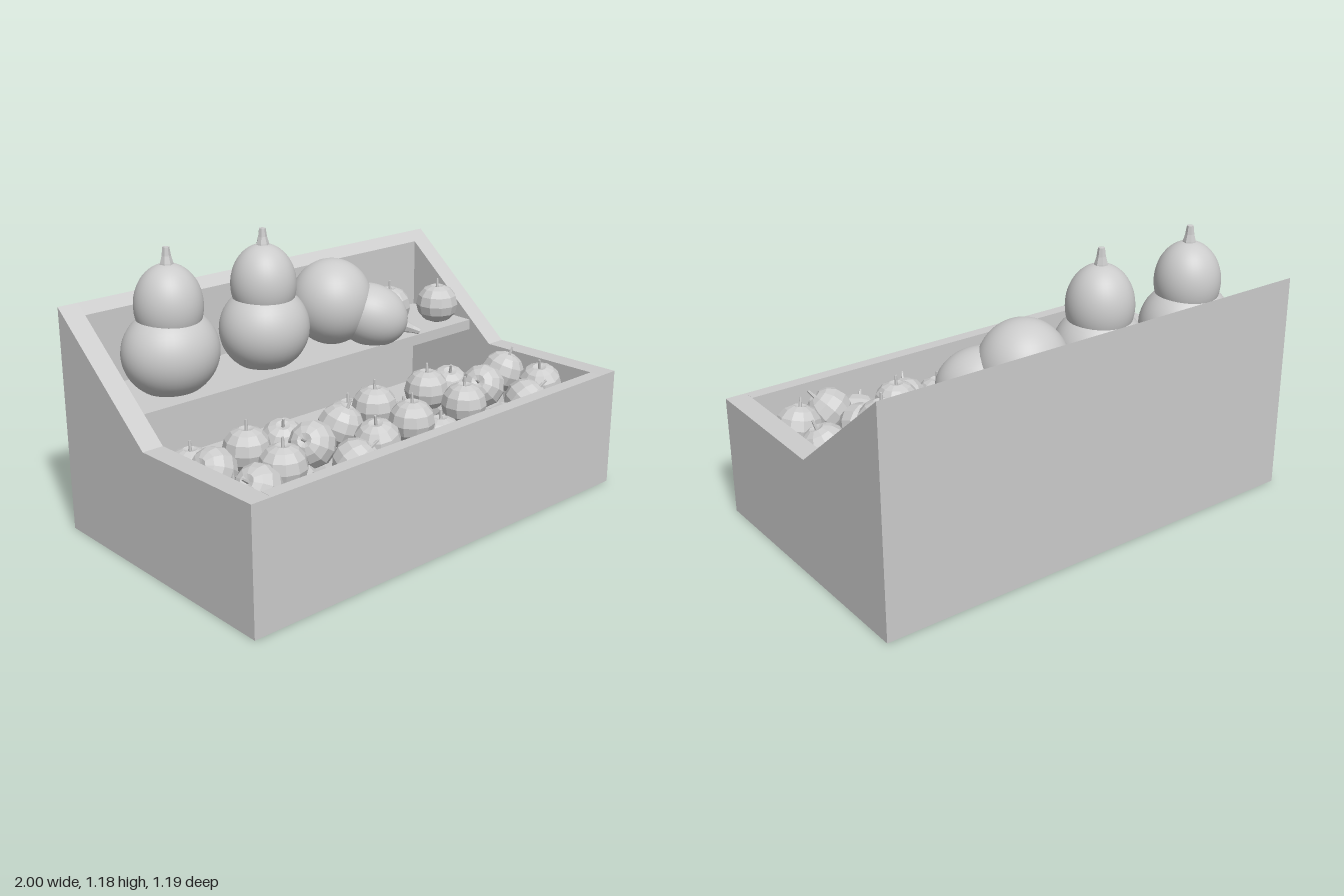
import * as THREE from 'three';

export function createModel() {
  const model = new THREE.Group();
  const smooth = new THREE.MeshStandardMaterial({ color: 0xcccccc });
  const faceted = new THREE.MeshStandardMaterial({ color: 0xcccccc, flatShading: true });

  const add = (parent, name, geometry, material) => {
    const mesh = new THREE.Mesh(geometry, material);
    mesh.name = name;
    parent.add(mesh);
    return mesh;
  };

  // Crate: [z, y] outlines extruded between two x positions
  const crate = new THREE.Group();
  crate.name = 'crate';
  model.add(crate);
  const panel = (name, outline, x0, x1) => {
    const shape = new THREE.Shape(outline.map(([z, y]) => new THREE.Vector2(z, y)));
    const geometry = new THREE.ExtrudeGeometry(shape, { depth: x1 - x0, bevelEnabled: false });
    geometry.rotateY(-Math.PI / 2).translate(x1, 0, 0);
    add(crate, name, geometry, faceted);
  };
  const rect = (z0, z1, y0, y1) => [[z0, y0], [z1, y0], [z1, y1], [z0, y1]];
  const side = [[-0.595, 0], [0.595, 0], [0.595, 0.52], [-0.05, 0.507], [-0.595, 0.947]];
  panel('rightSide', side, -1, -0.91);
  panel('leftSide', side, 0.91, 1);
  panel('backWall', [[-0.595, 0], [-0.545, 0], [-0.545, 0.907], [-0.595, 0.947]], -0.91, 0.91);
  panel('frontWall', rect(0.537, 0.595, 0, 0.52), -0.91, 0.91);
  panel('floor', rect(-0.545, 0.537, 0, 0.2), -0.91, 0.91);
  panel('shelf', rect(-0.545, -0.175, 0.55, 0.597), -0.91, 0.91);

  // Two-lobed gourd: round base, egg-shaped neck, tapering stem
  const lobe = (x, y, z) => new THREE.SphereGeometry(1, 40, 28).scale(x, y, z);
  const stemProfile = [[0.033, -0.02], [0.027, 0.012], [0.019, 0.04], [0.014, 0.075], [0, 0.077]]
    .map(([r, y]) => new THREE.Vector2(r, y));
  const gourdStem = new THREE.LatheGeometry(stemProfile, 7);
  const gourd = (name, position, baseRadii, neckRadii, neckOffset) => {
    const group = new THREE.Group();
    group.name = name;
    group.position.set(...position);
    const axis = new THREE.Vector3(...neckOffset);
    const direction = axis.clone().normalize();
    const turn = new THREE.Quaternion().setFromUnitVectors(new THREE.Vector3(0, 1, 0), direction);
    add(group, 'gourdBase', lobe(...baseRadii), smooth);
    const neck = add(group, 'gourdNeck', lobe(...neckRadii), smooth);
    neck.position.copy(axis);
    neck.quaternion.copy(turn);
    const stem = add(group, 'gourdStem', gourdStem, faceted);
    stem.position.copy(axis).addScaledVector(direction, neckRadii[1] - 0.01);
    stem.quaternion.copy(turn);
    model.add(group);
  };
  const neck = [0.138, 0.17, 0.138];
  gourd('firstUprightGourd', [-0.655, 0.75, -0.345], [0.203, 0.185, 0.185], neck, [0, 0.19, 0]);
  gourd('secondUprightGourd', [-0.18, 0.75, -0.345], [0.195, 0.185, 0.185], neck, [0, 0.19, 0]);
  gourd('lyingGourd', [0.21, 0.785, -0.36], [0.182, 0.19, 0.18], neck, [0.135, -0.065, 0.105]);

  // Small faceted pumpkin with dimpled ends and a thin stem
  const fruitProfile = [[0, -0.074], [0.03, -0.083], [0.062, -0.07], [0.087, -0.04], [0.097, 0],
    [0.087, 0.042], [0.062, 0.072], [0.03, 0.086], [0, 0.076]].map(([r, y]) => new THREE.Vector2(r, y));
  const fruitBody = new THREE.LatheGeometry(fruitProfile, 11);
  const fruitStem = new THREE.CylinderGeometry(0.005, 0.008, 0.05, 6).translate(0, 0.095, 0);
  const fruit = (x, y, z, tiltX = 0, tiltZ = 0) => {
    const group = new THREE.Group();
    group.name = 'pumpkin';
    group.position.set(x, y, z);
    group.rotation.set(tiltX, 0, tiltZ);
    add(group, 'pumpkinBody', fruitBody, faceted);
    add(group, 'pumpkinStem', fruitStem, faceted);
    model.add(group);
  };

  // Pair on the shelf
  fruit(0.59, 0.682, -0.385);
  fruit(0.785, 0.682, -0.27);

  // Heaped pile: one cluster, repeated on the other half of the crate
  const cluster = [
    [-0.605, 0.445, 0.065], [-0.61, 0.445, 0.29],
    [-0.38, 0.44, 0.19, 0.6, 0.9], [-0.36, 0.43, 0.42, 0.5, -0.6],
    [-0.17, 0.44, 0.12, 0.2, -0.3], [-0.175, 0.44, 0.34, 0.1, 0.2],
    [-0.5, 0.36, 0.43, 0.7, 0.5], [-0.5, 0.34, -0.02, -0.5, 0.5],
    [-0.305, 0.35, -0.085, 0.3, 0.2], [-0.74, 0.34, -0.12],
    [-0.74, 0.31, 0.15], [-0.48, 0.31, 0.2], [-0.27, 0.31, 0.1],
  ];
  for (const offset of [0, 0.985]) {
    for (const [x, y, z, tiltX, tiltZ] of cluster) fruit(x + offset, y, z, tiltX, tiltZ);
  }

  // Middle column and the fruit that fill the gaps
  for (const z of [0.065, 0.285]) {
    fruit(0.07, 0.445, z);
    fruit(-0.06, 0.31, z);
    fruit(0.24, 0.33, z);
  }
  fruit(0.07, 0.33, 0.44);
  fruit(0.23, 0.36, 0.455, 0.5, 0.2);
  fruit(0.07, 0.34, -0.1);
  fruit(-0.765, 0.4, 0.065, 0.2, 1);
  fruit(-0.735, 0.4, 0.3, 0.3, 0.9);

  return model;
}
